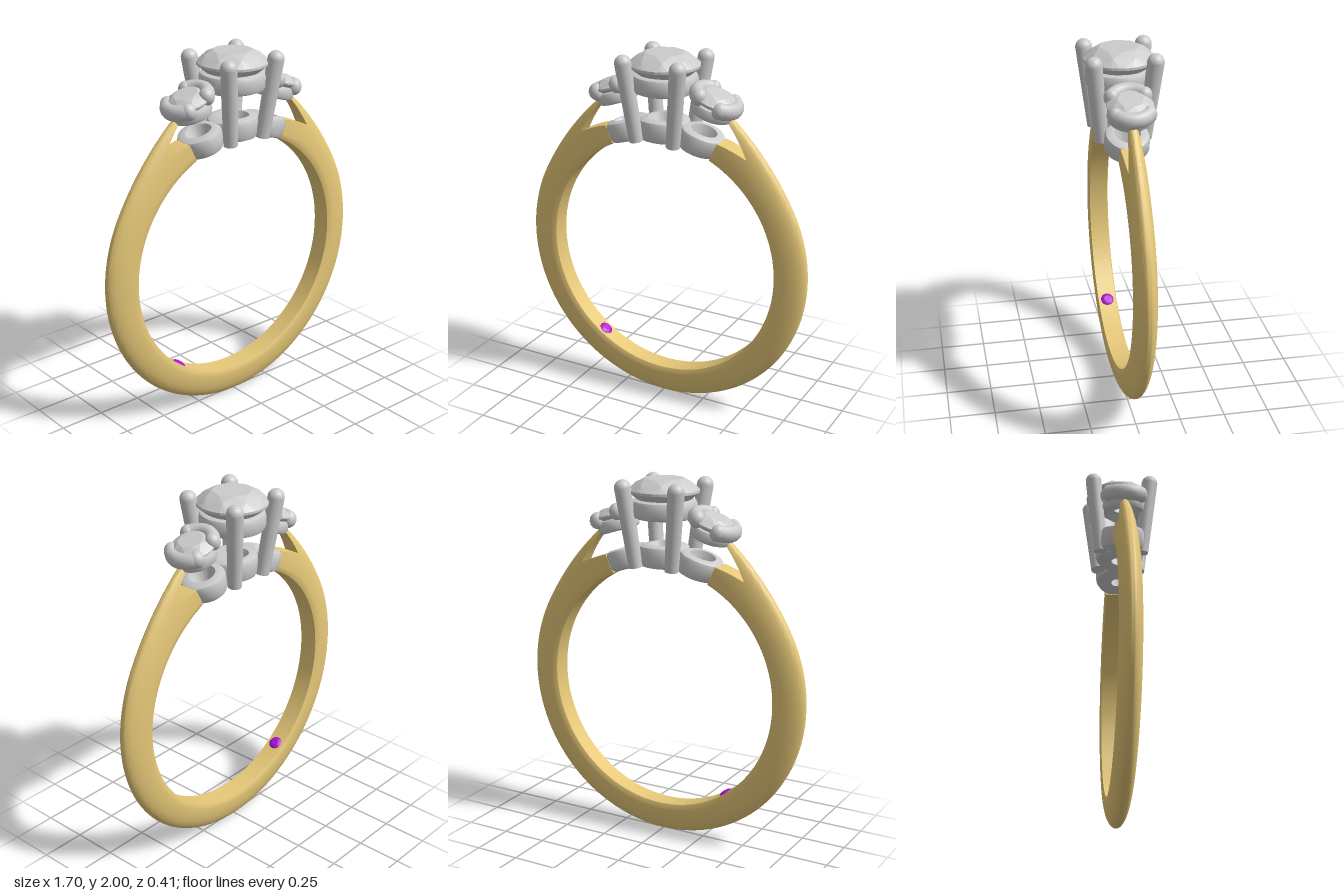
import * as THREE from 'three';
import { toCreasedNormals } from 'three/addons/utils/BufferGeometryUtils.js';
import { ConvexGeometry } from 'three/addons/geometries/ConvexGeometry.js';

const CY = 0.85, RI = 0.68, RO = 0.85;   // ring centre height, inner and outer radius
const NOTCH = 37.6;                      // angle from the top where the shoulders split
const rad = THREE.MathUtils.degToRad, lerp = THREE.MathUtils.lerp;

const grey = new THREE.MeshStandardMaterial({ color: 0xcccccc });
const stone = new THREE.MeshStandardMaterial({ color: 0xcccccc, flatShading: true });
const gold = new THREE.MeshStandardMaterial({ color: 0xe6c878 });
const purple = new THREE.MeshStandardMaterial({ color: 0xb010d0, flatShading: true });

function add(parent, name, geometry, material) {
  const mesh = new THREE.Mesh(geometry, material);
  mesh.name = name;
  parent.add(mesh);
  return mesh;
}

// Degrees away from the top of the ring
const fromTop = (deg) => Math.min(deg, 360 - deg);
// Outer radius flares towards the shoulders
const outer = (deg) => RO + 0.085 * Math.max(0, (62 - fromTop(deg)) / 36.5) ** 2;
const split = (deg) => (NOTCH - fromTop(deg)) / 12.6;

// Half width of the D-shaped band at radius r
function halfWidth(r, ro) {
  const full = 0.705;
  if (r < full) return 0.06 * (1 - 0.13 * ((full - r) / (full - RI)) ** 2);
  return 0.06 * Math.sqrt(Math.max(0, 1 - ((r - full) / (ro - full)) ** 2));
}

// Sweep the part of the band section between radii low(deg) and high(deg)
function bandPiece(from, to, steps, low, high) {
  const n = 16, loop = 2 * n, pos = [], idx = [];
  for (let i = 0; i <= steps; i++) {
    const deg = lerp(from, to, i / steps), t = rad(deg), a = low(deg), b = high(deg);
    for (let j = 0; j < loop; j++) {
      const front = j < n, k = front ? j : loop - 1 - j;
      const r = lerp(a, b, Math.sin((k / (n - 1)) * Math.PI / 2));
      const w = halfWidth(r, outer(deg));
      pos.push(r * Math.sin(t), CY + r * Math.cos(t), front ? w : -w);
    }
  }
  for (let i = 0; i < steps; i++) {
    for (let j = 0; j < loop; j++) {
      const p = i * loop + j, q = i * loop + (j + 1) % loop;
      idx.push(p, p + loop, q, q, p + loop, q + loop);
    }
  }
  const end = steps * loop;
  for (let j = 1; j < loop - 1; j++) {
    idx.push(0, j, j + 1, end, end + j + 1, end + j);
  }
  const g = new THREE.BufferGeometry();
  g.setAttribute('position', new THREE.Float32BufferAttribute(pos, 3));
  g.setIndex(idx);
  return toCreasedNormals(g, 0.7);
}

// Brilliant cut: table, star points, girdle and culet
function gem(R, crown, pavilion) {
  const pts = [new THREE.Vector3(0, -pavilion, 0)];
  const ring = (n, r, y, turn) => {
    for (let i = 0; i < n; i++) {
      const a = ((i + turn) / n) * Math.PI * 2;
      pts.push(new THREE.Vector3(r * Math.cos(a), y, r * Math.sin(a)));
    }
  };
  ring(8, R * 0.56, crown, 0);
  ring(8, R * 0.8, crown * 0.62, 0.5);
  ring(32, R, 0, 0);
  ring(32, R, -R * 0.07, 0);
  ring(8, R * 0.45, -pavilion * 0.6, 0.5);
  return new ConvexGeometry(pts);
}

// Hollow collar with rounded rims
function collar(rOut, holeTop, holeBottom, h, bevel) {
  const profile = [
    [holeBottom, 0], [rOut - bevel, 0], [rOut - bevel * 0.3, bevel * 0.3], [rOut, bevel],
    [rOut, h - bevel], [rOut - bevel * 0.3, h - bevel * 0.3], [rOut - bevel, h],
    [holeTop, h], [holeBottom, 0],
  ].map(([x, y]) => new THREE.Vector2(x, y));
  return new THREE.LatheGeometry(profile, 48);
}

// Bend a flat part, shifted sideways by s, around the finger hole
function bend(g, s) {
  const p = g.attributes.position;
  for (let i = 0; i < p.count; i++) {
    const t = (p.getX(i) + s) / 0.74, r = RI + p.getY(i);
    p.setXYZ(i, r * Math.sin(t), CY + r * Math.cos(t), p.getZ(i));
  }
  return toCreasedNormals(g, 0.6);
}

// Group whose local y points outward from the ring at the given angle
function radialGroup(name, deg) {
  const g = new THREE.Group();
  g.name = name;
  g.position.y = CY;
  g.rotation.z = -rad(deg);
  return g;
}

// Curved claw hugging one end of a side stone
function claw(side) {
  const g = new THREE.Group();
  const pts = [];
  for (let i = -4; i <= 4; i++) {
    const a = rad(i * 13.5);
    pts.push(new THREE.Vector3(side * 0.112 * Math.cos(a), 0, 0.105 * Math.sin(a)));
  }
  const curve = new THREE.CatmullRomCurve3(pts);
  add(g, 'clawBar', new THREE.TubeGeometry(curve, 24, 0.039, 14), grey);
  for (const p of [pts[0], pts[8]]) {
    add(g, 'clawTip', new THREE.SphereGeometry(0.041, 20, 14), grey).position.copy(p);
  }
  g.scale.y = 1.15;
  return g;
}

export function createModel() {
  const ring = new THREE.Group();
  ring.name = 'ring';

  // Gold band with forked shoulders
  const inner = () => RI;
  const forkOuter = (d) => lerp(0.82, 0.91, split(d));
  const forkInner = (d) => lerp(0.82, 0.788, split(d));
  add(ring, 'band', bandPiece(NOTCH, 360 - NOTCH, 144, inner, outer), gold);
  for (const [a, b, c] of [[25.2, NOTCH, 25.2], [360 - NOTCH, 334.8, 334.8]]) {
    add(ring, 'upperShoulder', bandPiece(a, b, 12, forkOuter, outer), gold);
    add(ring, 'lowerShoulder', bandPiece(a, b, 12, inner, forkInner), gold);
  }

  // Small stone set inside the band
  const hidden = radialGroup('hiddenStone', 215);
  const dot = add(hidden, 'insideStone', gem(0.038, 0.01, 0.025), purple);
  dot.position.y = RI - 0.002;
  dot.rotation.x = Math.PI;
  ring.add(hidden);

  // Base of three pierced discs following the finger hole
  add(ring, 'baseCentre', bend(collar(0.135, 0.085, 0.045, 0.12, 0.025), 0), grey);
  for (const s of [-1, 1]) {
    add(ring, 'baseSide', bend(collar(0.118, 0.068, 0.03, 0.115, 0.025), s * 0.222), grey);
  }

  // Centre stone, its gallery and four prongs
  add(ring, 'centreStone', gem(0.19, 0.06, 0.17), stone).position.y = 1.94;
  const gallery = toCreasedNormals(collar(0.178, 0.145, 0.1, 0.1, 0.025), 0.6);
  add(ring, 'centreGallery', gallery, grey).position.y = 1.79;
  for (const sx of [-1, 1]) for (const sz of [-1, 1]) {
    const foot = new THREE.Vector3(sx * 0.11, 1.53, sz * 0.115);
    const tip = new THREE.Vector3(sx * 0.16, 1.955, sz * 0.16);
    const dir = tip.clone().sub(foot);
    const prong = new THREE.Group();
    prong.name = 'prong';
    prong.position.copy(foot);
    prong.quaternion.setFromUnitVectors(new THREE.Vector3(0, 1, 0), dir.clone().normalize());
    const len = dir.length();
    add(prong, 'prongShaft', new THREE.CylinderGeometry(0.045, 0.038, len, 24), grey).position.y = len / 2;
    add(prong, 'prongTip', new THREE.SphereGeometry(0.045, 24, 16), grey).position.y = len;
    ring.add(prong);
  }

  // Tilted side stones with galleries and claws
  for (const s of [-1, 1]) {
    const side = radialGroup('sideSetting', s * 18);
    add(side, 'sideStone', gem(0.121, 0.038, 0.1), stone).position.y = 0.985;
    const g = toCreasedNormals(collar(0.115, 0.09, 0.05, 0.07, 0.02), 0.6);
    add(side, 'sideGallery', g, grey).position.y = 0.89;
    const outerClaw = claw(s), innerClaw = claw(-s);
    outerClaw.name = 'outerClaw';
    innerClaw.name = 'innerClaw';
    outerClaw.position.y = 0.97;
    innerClaw.position.y = 0.99;
    side.add(outerClaw, innerClaw);
    ring.add(side);
  }
  return ring;
}
